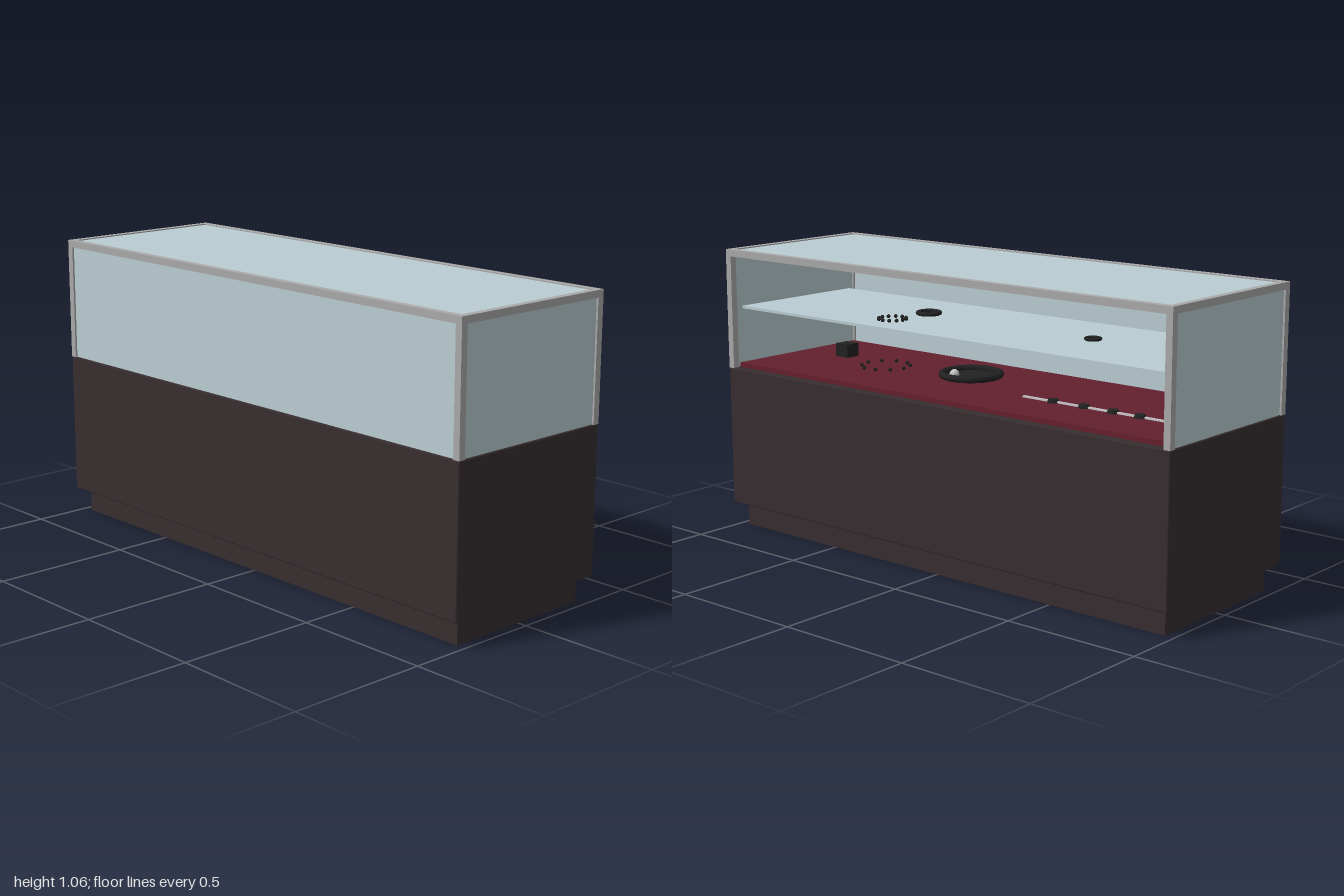
import * as THREE from 'three';
import { RoundedBoxGeometry } from 'three/addons/geometries/RoundedBoxGeometry.js';

const paint = (name, color) => {
  const m = new THREE.MeshStandardMaterial({ color });
  m.name = name;
  return m;
};

export function createModel() {
  const model = new THREE.Group();
  model.name = 'displayCounter';
  const wood = paint('darkWood', 0x372d2f);
  const metal = paint('brushedMetal', 0xaaaaaa);
  const glass = paint('paleGlass', 0xbacdd3);
  const felt = paint('redFelt', 0x64202e);
  const black = paint('blackJewel', 0x222222);
  const silver = paint('silver', 0xc8c8c8);

  const add = (name, geo, mat, x, y, z, parent = model) => {
    const mesh = new THREE.Mesh(geo, mat);
    mesh.name = name;
    mesh.position.set(x, y, z);
    parent.add(mesh);
    return mesh;
  };
  // box given by its minimum and maximum corners
  const box = (name, mat, [x0, y0, z0], [x1, y1, z1], parent) =>
    add(name, new THREE.BoxGeometry(x1 - x0, y1 - y0, z1 - z0), mat,
      (x0 + x1) / 2, (y0 + y1) / 2, (z0 + z1) / 2, parent);

  // cabinet on a recessed plinth
  box('plinth', wood, [-0.966, 0, -0.288], [0.966, 0.094, 0.288]);
  add('cabinet', new RoundedBoxGeometry(2, 0.522, 0.664, 2, 0.005), wood, 0, 0.352, 0);

  // metal frame: four posts and a top rim
  const frame = new THREE.Group();
  frame.name = 'frame';
  model.add(frame);
  const T = 0.025, X = 1, Z = 0.332, Y0 = 0.612, Y1 = 1.057;
  for (const sx of [-1, 1]) {
    for (const sz of [-1, 1]) {
      add('post', new THREE.BoxGeometry(T, Y1 - T - Y0, T), metal,
        sx * (X - T / 2), (Y0 + Y1 - T) / 2, sz * (Z - T / 2), frame);
    }
    add('sideRail', new THREE.BoxGeometry(T, T, 2 * (Z - T)), metal, sx * (X - T / 2), Y1 - T / 2, 0, frame);
    add('longRail', new THREE.BoxGeometry(2 * X, T, T), metal, 0, Y1 - T / 2, sx * (Z - T / 2), frame);
  }

  // glass panes: top, front and both sides; the back stays open
  box('topGlass', glass, [-X + T, Y1 - 0.014, -Z + T], [X - T, Y1 - 0.004, Z - T]);
  box('frontGlass', glass, [-X + T, Y0, 0.315], [X - T, Y1 - T, 0.325]);
  for (const s of [-1, 1]) {
    add('sideGlass', new THREE.BoxGeometry(0.01, Y1 - T - Y0, 2 * (Z - T)), glass,
      s * 0.988, (Y0 + Y1 - T) / 2, 0);
  }

  // inner glass shelf and padded floor
  box('shelf', glass, [-0.975, 0.832, -0.28], [0.975, 0.842, 0.28]);
  const F = 0.63, S = 0.842;
  box('feltPad', felt, [-0.975, Y0, -0.3], [0.975, F, 0.3]);

  // jewellery
  const items = new THREE.Group();
  items.name = 'jewellery';
  model.add(items);
  const ring = (x, y, z, r, tube) => {
    add('bangle', new THREE.TorusGeometry(r, tube, 8, 32), black, x, y + tube, z, items).rotation.x = Math.PI / 2;
  };
  const beads = (x, y, z, r, n) => {
    for (let i = 0; i < n; i++) {
      const a = (i / n) * Math.PI * 2;
      add('bead', new THREE.SphereGeometry(0.007, 8, 6), black,
        x + r * Math.cos(a), y + 0.007, z + r * Math.sin(a), items);
    }
  };

  // round dish with a silver stone
  ring(0.134, F, 0.05, 0.105, 0.013);
  add('dish', new THREE.CylinderGeometry(0.1, 0.1, 0.008, 32), black, 0.134, F + 0.004, 0.05, items);
  add('stone', new THREE.SphereGeometry(0.018, 12, 8), silver, 0.17, F + 0.015, 0, items);

  // bracelet laid straight, with dark settings
  box('chain', silver, [-0.83, F, -0.09], [-0.22, F + 0.006, -0.08], items);
  for (const x of [-0.35, -0.48, -0.6, -0.71]) {
    add('setting', new THREE.CylinderGeometry(0.018, 0.022, 0.012, 10), black, x, F + 0.006, -0.085, items);
  }

  // small box, beads and bangles
  box('trinketBox', black, [0.73, F, 0.02], [0.79, F + 0.05, 0.08], items);
  beads(0.5, F, -0.01, 0.09, 10);
  beads(0.33, S, -0.15, 0.05, 12);
  ring(0.31, S, 0.02, 0.04, 0.008);
  ring(-0.45, S, 0, 0.025, 0.006);
  return model;
}
